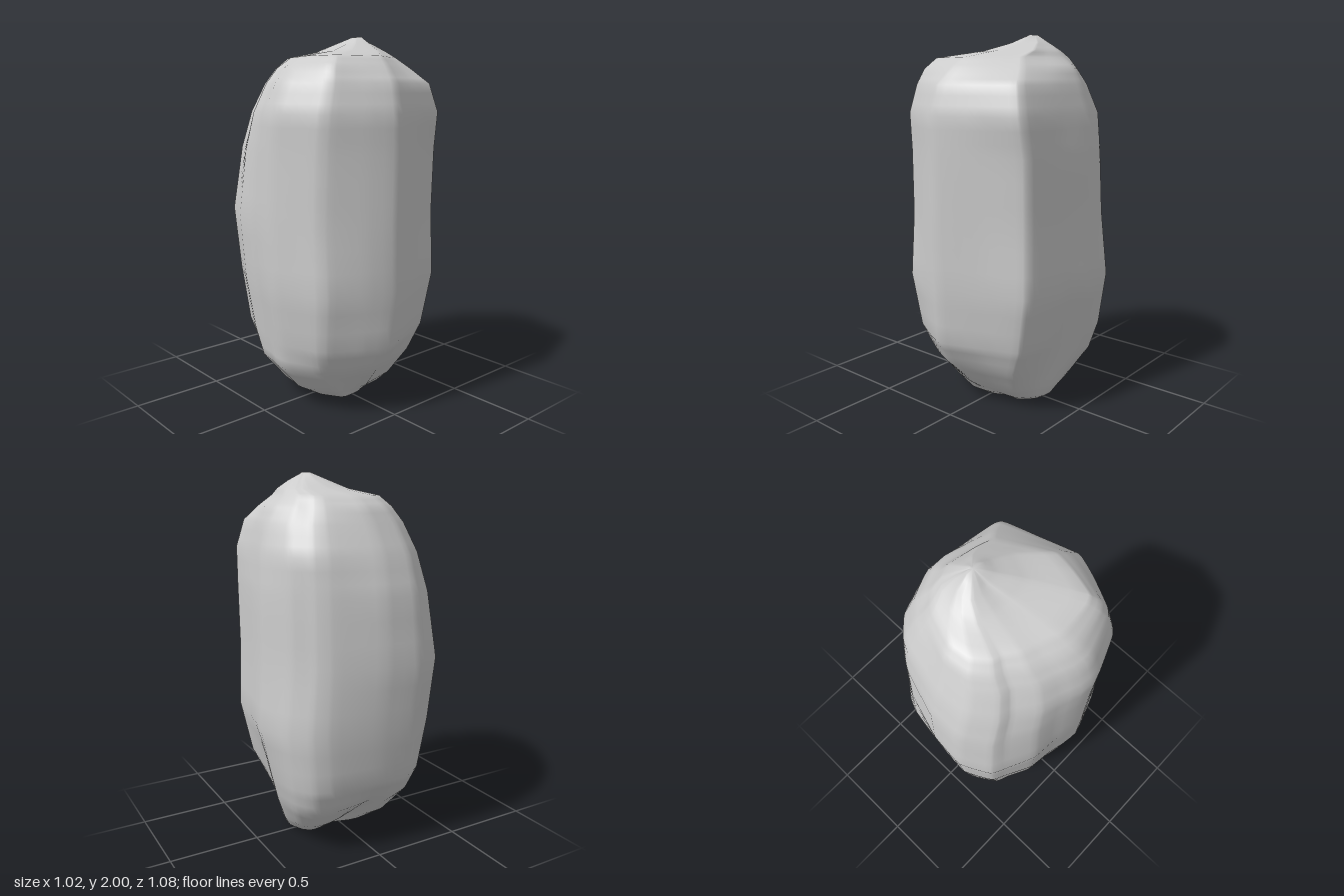
import * as THREE from 'three';

// Angular plan of the boulder (x, z), counter-clockwise seen from above
const PLAN = [
  [0.51, -0.13], [0.45, -0.32], [0.36, -0.42], [0.27, -0.465], [0, -0.525], [-0.2, -0.545],
  [-0.36, -0.47], [-0.4, -0.4], [-0.47, -0.24], [-0.48, -0.1], [-0.51, 0.1], [-0.43, 0.34],
  [-0.38, 0.4], [-0.2, 0.49], [-0.04, 0.545], [0.2, 0.45], [0.4, 0.37], [0.43, 0.32], [0.47, 0.1],
];

// Eight directions (x, z) and how far the plan reaches along each
const DIRECTIONS = [[1, 0], [1, -1], [0, -1], [-1, -1], [-1, 0], [-1, 1], [0, 1], [1, 1]];
const REACH = DIRECTIONS.map(([dx, dz]) => Math.max(...PLAN.map(([x, z]) => x * dx + z * dz)));

// Height, then the reach of the section along the eight directions
const SECTIONS = [
  [0, 0.25, 0.25, 0.02, 0.1, 0.1, 0.2, 0.12, 0.28],
  [0.03, 0.3, 0.35, 0.08, 0.25, 0.19, 0.31, 0.18, 0.34],
  [0.1, 0.33, 0.48, 0.18, 0.44, 0.31, 0.42, 0.28, 0.44],
  [0.25, 0.375, 0.68, 0.36, 0.61, 0.44, 0.61, 0.42, 0.6],
  [0.4, 0.42, 0.75, 0.48, 0.69, 0.46, 0.71, 0.51, 0.71],
  [0.7, 0.51, 0.78, 0.515, 0.77, 0.505, 0.78, 0.535, 0.79],
  [1.05, 0.5, 0.72, 0.545, 0.82, 0.515, 0.75, 0.545, 0.77],
  [1.4, 0.495, 0.69, 0.525, 0.73, 0.505, 0.75, 0.545, 0.78],
  [1.6, 0.47, 0.67, 0.47, 0.63, 0.5, 0.76, 0.545, 0.8],
  [1.75, 0.435, 0.57, 0.4, 0.52, 0.44, 0.7, 0.5, 0.73],
  [1.83, 0.4, 0.49, 0.36, 0.44, 0.36, 0.64, 0.42, 0.58],
  [1.885, 0.33, 0.44, 0.3, 0.35, 0.26, 0.55, 0.35, 0.47],
  [1.92, 0.3, 0.37, 0.19, 0.15, 0.04, 0.2, 0.22, 0.4],
  [1.96, 0.25, 0.28, 0.11, 0.02, -0.08, 0, 0.11, 0.3],
  [2, 0.19, 0.19, 0.04, -0.13, -0.15, -0.13, 0.04, 0.19],
];

const STEPS = 3;

// Section at a fractional row, blended between its neighbours
function sectionAt(row) {
  const i = Math.min(Math.floor(row), SECTIONS.length - 2);
  return SECTIONS[i].map((v, k) => THREE.MathUtils.lerp(v, SECTIONS[i + 1][k], row - i));
}

function createBoulderGeometry() {
  const columns = PLAN.length * 4, rows = (SECTIONS.length - 1) * STEPS;
  const plan = new THREE.CatmullRomCurve3(
    PLAN.map(([x, z]) => new THREE.Vector3(x, 0, z)), true, 'catmullrom', 0.2);
  // Flat facet on the front right underside
  const facet = new THREE.Plane(new THREE.Vector3(-0.51, -0.61, 0.61), -0.185).normalize();
  const positions = [], index = [];

  // Scale the plan about each section's centre, by direction
  for (let i = 0; i <= rows; i++) {
    const [y, ...reach] = sectionAt(i / STEPS);
    const cx = (reach[0] - reach[4]) / 2, cz = (reach[6] - reach[2]) / 2;
    const scales = DIRECTIONS.map(([dx, dz], k) => (reach[k] - cx * dx - cz * dz) / REACH[k]);
    for (let j = 0; j < columns; j++) {
      const p = plan.getPoint(j / columns);
      const turn = THREE.MathUtils.euclideanModulo(Math.atan2(-p.z, p.x) / (Math.PI / 4), 8);
      const k = Math.floor(turn) % 8;
      const scale = THREE.MathUtils.lerp(scales[k], scales[(k + 1) % 8], turn - Math.floor(turn));
      p.set(cx + p.x * scale, y, cz + p.z * scale);
      const out = facet.distanceToPoint(p);
      if (out > 0) p.addScaledVector(facet.normal, -out);
      positions.push(p.x, p.y, p.z);
    }
  }
  for (let i = 0; i < rows; i++) {
    for (let j = 0; j < columns; j++) {
      const a = i * columns + j, b = i * columns + (j + 1) % columns;
      index.push(a, b, a + columns, b, b + columns, a + columns);
    }
  }

  // Close the underside and the peak
  const bottom = positions.length / 3, top = bottom + 1, last = rows * columns;
  positions.push(0.085, 0, 0.05, 0.17, 2, 0);
  for (let j = 0; j < columns; j++) {
    const k = (j + 1) % columns;
    index.push(bottom, k, j, top, last + j, last + k);
  }

  const geometry = new THREE.BufferGeometry();
  geometry.setAttribute('position', new THREE.Float32BufferAttribute(positions, 3));
  geometry.setIndex(index);
  geometry.computeVertexNormals();
  return geometry;
}

export function createModel() {
  const group = new THREE.Group();
  group.name = 'rock';
  const boulder = new THREE.Mesh(createBoulderGeometry(), new THREE.MeshStandardMaterial({ color: 0xcccccc }));
  boulder.name = 'boulder';
  group.add(boulder);
  return group;
}
